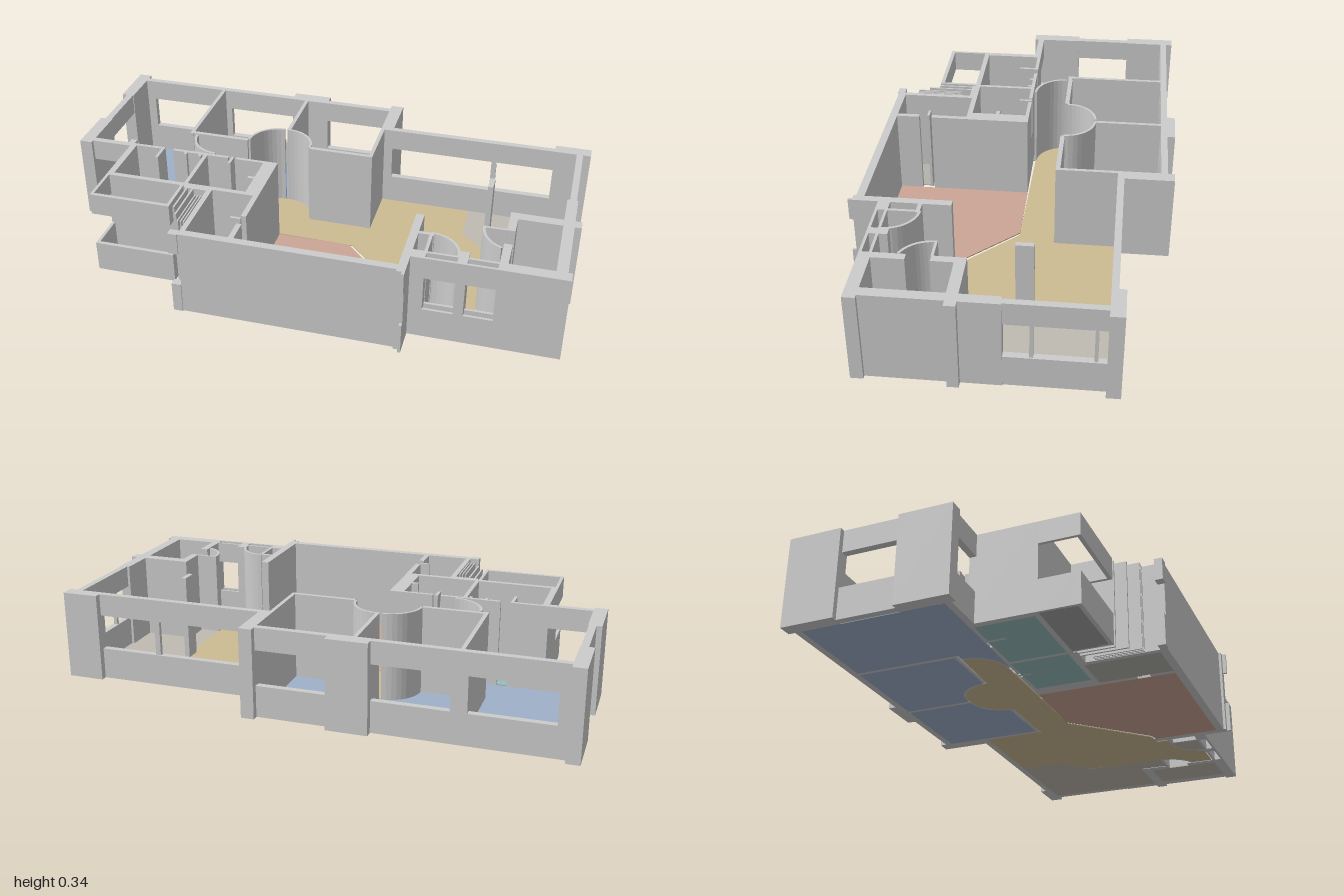
import * as THREE from 'three';

const H = 0.34, SILL = 0.12, HEAD = 0.255, FLOOR = 0.004;

export function createModel() {
  const model = new THREE.Group();
  const wallMat = new THREE.MeshStandardMaterial({ color: 0xcccccc, side: THREE.DoubleSide });

  function box(name, x0, x1, z0, z1, y0 = 0, y1 = H) {
    const mesh = new THREE.Mesh(new THREE.BoxGeometry(x1 - x0, y1 - y0, z1 - z0), wallMat);
    mesh.position.set((x0 + x1) / 2, (y0 + y1) / 2, (z0 + z1) / 2);
    mesh.name = name;
    model.add(mesh);
  }
  // Sill and lintel with an open strip between them
  function windowWall(name, x0, x1, z0, z1) {
    box(name + 'Sill', x0, x1, z0, z1, 0, SILL);
    box(name + 'Lintel', x0, x1, z0, z1, HEAD, H);
  }
  function arcPoints(cx, cz, r, a0, a1, n = 10) {
    return Array.from({ length: n + 1 }, (_, i) => {
      const a = (a0 + (a1 - a0) * i / n) * Math.PI;
      return [cx + r * Math.cos(a), cz + r * Math.sin(a)];
    });
  }
  // Plan outline in (x, z) raised to a height
  function raise(name, points, height, material) {
    const shape = new THREE.Shape(points.map(([x, z]) => new THREE.Vector2(x, z)));
    const geo = new THREE.ExtrudeGeometry(shape, { depth: height, bevelEnabled: false });
    geo.rotateX(Math.PI / 2).translate(0, height, 0);
    const mesh = new THREE.Mesh(geo, material);
    mesh.name = name;
    model.add(mesh);
  }
  function curvedWall(name, cx, cz, r, a0, a1, t = 0.01) {
    raise(name, [...arcPoints(cx, cz, r, a0, a1), ...arcPoints(cx, cz, r - t, a1, a0)], H, wallMat);
  }
  function floor(name, color, points) {
    raise(name, points, FLOOR, new THREE.MeshStandardMaterial({ color }));
  }
  const rect = (x0, x1, z0, z1) => [[x0, z0], [x1, z0], [x1, z1], [x0, z1]];

  // Floors
  const blue = 0x9fb1c9, teal = 0x96bdbc, stone = 0xbfbab1;
  floor('leftBedroomFloor', blue, [[-0.95, -0.53], [-0.595, -0.53], [-0.595, -0.13],
    ...arcPoints(-0.44, -0.13, 0.125, 1, 0.5), [-0.44, 0], [-0.95, 0]]);
  floor('middleBedroomFloor', blue, [[-0.58, -0.53], [-0.22, -0.53], [-0.22, -0.27],
    ...arcPoints(-0.23, -0.15, 0.12, 1.5, 1), [-0.58, -0.15]]);
  floor('rightBedroomFloor', blue, [[-0.205, -0.53], [0.15, -0.53], [0.15, -0.15],
    ...arcPoints(-0.21, -0.15, 0.12, 2, 1.5)]);
  floor('livingFloor', 0xccbc93, [...arcPoints(-0.44, -0.13, 0.12, 0.5, 1), [-0.35, -0.135],
    ...arcPoints(-0.23, -0.15, 0.115, 1, 1.5), ...arcPoints(-0.21, -0.15, 0.115, 1.5, 2),
    [0.165, -0.135], [0.165, -0.37], [0.535, -0.37], [0.535, -0.2], [0.655, -0.08], [0.655, 0.23],
    ...arcPoints(0.78, 0.23, 0.125, 1, 0.62), [0.735, 0.425], [0.6, 0.425],
    ...arcPoints(0.485, 0.43, 0.115, 0, -0.5), [0.445, 0.315], [0.445, 0.27], [0.39, 0.265], [0.125, 0]]);
  floor('redRoomFloor', 0xcba596, [[-0.18, 0], [0.11, 0], [0.375, 0.27], [0.41, 0.275], [0.41, 0.53], [-0.18, 0.53]]);
  floor('sideRoomFloor', stone, [[0.535, -0.37], [0.94, -0.37], [0.94, 0.11], [0.735, 0.11],
    [0.735, 0.225], [0.655, 0.225], [0.655, -0.08], [0.535, -0.2]]);
  floor('storeFloor', stone, rect(0.77, 0.93, 0.15, 0.43));
  floor('closetFloor', stone, [[0.485, 0.43], ...arcPoints(0.485, 0.43, 0.11, -0.5, 0)]);
  floor('leftBathFloor', teal, rect(-0.765, -0.48, 0.01, 0.23));
  floor('rightBathFloor', teal, rect(-0.465, -0.235, 0.01, 0.23));
  floor('balconyFloor', 0xa3a3a3, rect(-0.78, -0.48, 0.25, 0.39));
  floor('pantryFloor', 0xb2b4ac, rect(-0.36, -0.2, 0.25, 0.53));

  // Left outer side
  box('leftBackPillar', -1, -0.95, -0.58, -0.38);
  windowWall('leftWindow', -0.98, -0.953, -0.38, -0.16);
  box('leftFrontPillar', -1, -0.95, -0.16, 0.04);
  windowWall('leftFrontWindow', -0.95, -0.79, 0, 0.025);

  // Back side, with piers between windows
  box('backLeftPier', -0.95, -0.915, -0.555, -0.53);
  windowWall('backLeftWindow', -0.915, -0.615, -0.555, -0.53);
  box('backMiddlePier', -0.615, -0.555, -0.555, -0.53);
  windowWall('backMiddleWindow', -0.555, -0.275, -0.555, -0.53);
  box('backPillar', -0.275, -0.12, -0.585, -0.53);
  windowWall('backRightWindow', -0.12, 0.15, -0.555, -0.53);
  box('backStepPillar', 0.15, 0.2, -0.58, -0.37);
  windowWall('livingWindow', 0.2, 0.855, -0.395, -0.37);
  box('livingMullion', 0.61, 0.63, -0.39, -0.375, SILL, HEAD);
  box('backRightPillar', 0.855, 0.995, -0.42, -0.37);

  // Right outer side
  windowWall('rightWindow', 0.94, 0.965, -0.37, -0.03);
  for (const z of [-0.34, -0.13]) box('rightMullion', 0.945, 0.96, z, z + 0.012, SILL, HEAD);
  box('rightWall', 0.93, 0.97, -0.03, 0.475);
  box('rightPillar', 0.93, 0.995, 0.11, 0.15);
  box('rightFrontPillar', 0.93, 0.985, 0.43, 0.475);
  box('storeFrontWall', 0.74, 0.93, 0.43, 0.475);
  box('storeBackWall', 0.74, 0.93, 0.11, 0.15);
  box('storeSideWall', 0.74, 0.77, 0.11, 0.23);
  box('storeSideWall', 0.74, 0.77, 0.315, 0.43);

  // Entrance and closet
  windowWall('entranceBack', 0.49, 0.74, 0.43, 0.44);
  windowWall('entranceFront', 0.49, 0.74, 0.465, 0.475);
  box('entranceSidePost', 0.44, 0.49, 0.43, 0.475);
  box('entrancePost', 0.6, 0.635, 0.4, 0.475);
  box('closetBackWall', 0.44, 0.495, 0.315, 0.33);
  box('closetSideWall', 0.48, 0.492, 0.315, 0.43);
  curvedWall('closetCurvedWall', 0.485, 0.43, 0.12, -0.5, 0);
  curvedWall('storeCurvedWall', 0.78, 0.23, 0.125, 1, 0.62);
  box('storeDoor', 0.655, 0.74, 0.222, 0.232);
  box('sideRoomPost', 0.635, 0.655, -0.105, -0.04);

  // Red room and pantry
  box('redRoomRightWall', 0.41, 0.44, 0.21, 0.57);
  windowWall('redRoomWallEnd', 0.43, 0.44, 0.57, 0.585);
  box('frontWall', -0.38, 0.44, 0.53, 0.56);
  box('bathEndWall', -0.235, -0.18, 0, 0.25);
  for (const [a, b] of [[0.25, 0.39], [0.44, 0.53]]) box('pantryRightWall', -0.2, -0.18, a, b);
  box('pantryDoor', -0.235, -0.195, 0.4, 0.41);
  box('pantryLeftWall', -0.38, -0.36, 0.25, 0.55);

  // Bedroom partitions and curved door walls
  box('bedroomPartition', -0.595, -0.58, -0.53, -0.135);
  box('bedroomPartition', -0.22, -0.205, -0.53, -0.265);
  box('middleBedroomWall', -0.58, -0.35, -0.155, -0.138);
  box('rightBedroomWall', -0.09, 0.165, -0.155, -0.138);
  box('rightBedroomSideWall', 0.15, 0.165, -0.53, -0.138);
  curvedWall('bedroomCurvedWall', -0.23, -0.15, 0.122, 1, 1.5);
  curvedWall('bedroomCurvedWall', -0.21, -0.15, 0.122, 1.5, 2);
  curvedWall('hallCurvedWall', -0.44, -0.13, 0.126, 0.5, 1);

  // Bathrooms
  box('bathLeftWall', -0.79, -0.765, 0, 0.25);
  box('bathPartition', -0.48, -0.465, 0, 0.25);
  box('bathFrontWall', -0.79, -0.2, 0.23, 0.25);
  for (const [a, b] of [[-0.79, -0.65], [-0.61, -0.38], [-0.35, -0.235]]) box('bathBackWall', a, b, 0, 0.014);
  for (const [x, z] of [[-0.66, 0.08], [-0.56, 0.03], [-0.37, 0.05], [-0.5, 0.03]]) box('bathJamb', x, x + 0.012, 0, z);
  box('bathJamb', -0.26, -0.235, 0.12, 0.135);

  // Balcony bands
  windowWall('balconyFront', -0.79, -0.475, 0.385, 0.4);
  windowWall('balconyLeft', -0.79, -0.778, 0.25, 0.385);
  windowWall('balconyRight', -0.487, -0.475, 0.25, 0.385);

  // Thin upright fins beside the balcony
  box('fin', -0.46, -0.453, 0.25, 0.4);
  box('fin', -0.437, -0.43, 0.25, 0.44);
  for (const x of [-0.412, -0.4, -0.389]) box('fin', x, x + 0.005, 0.3, 0.48);
  windowWall('finReturn', -0.415, -0.38, 0.535, 0.565);
  box('finCap', -0.47, -0.38, 0.25, 0.262);

  return model;
}
